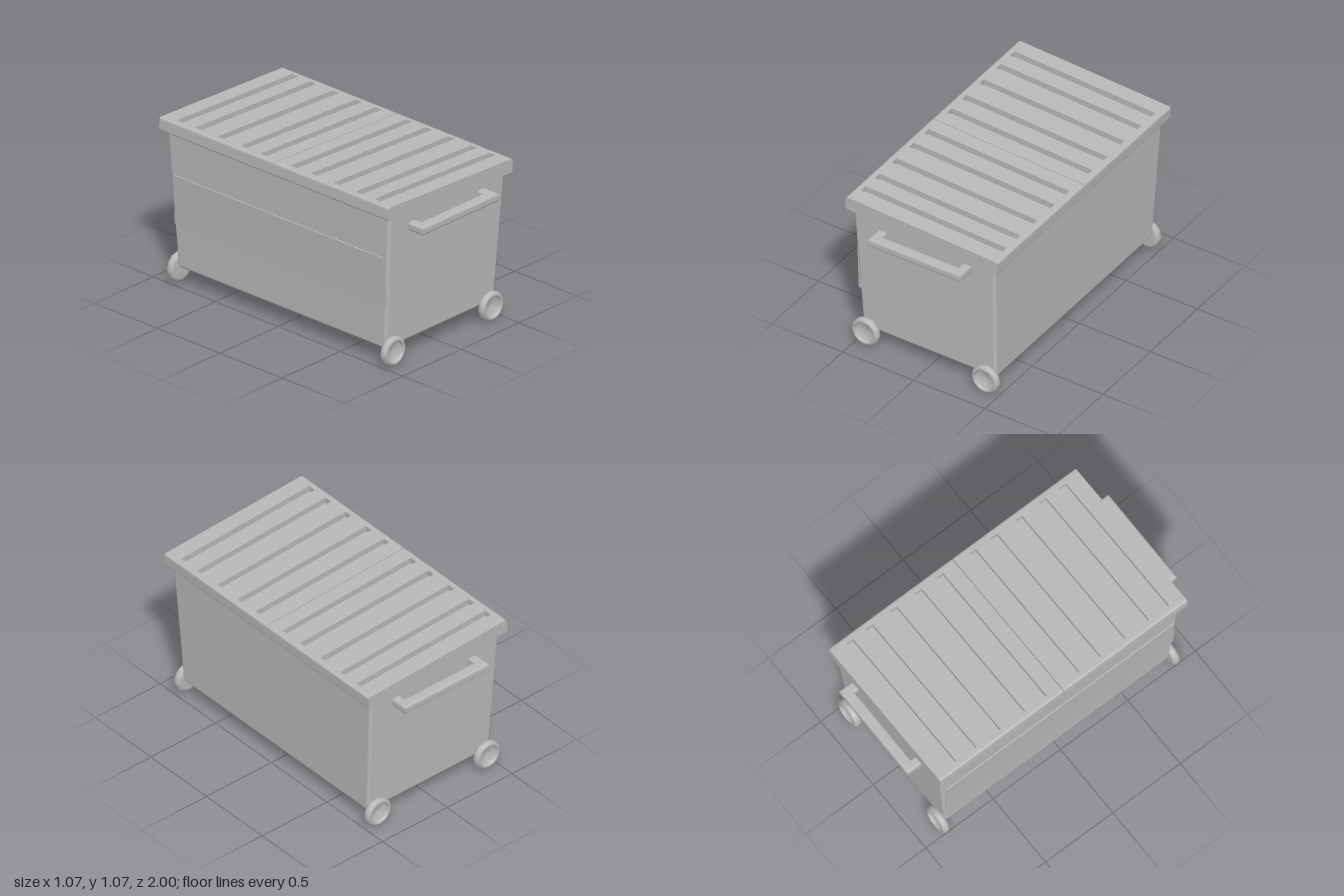
import * as THREE from 'three';
import { RoundedBoxGeometry } from 'three/addons/geometries/RoundedBoxGeometry.js';

const TILT = 0.0435; // the lids fall towards +x

// Tapered tub with a slanted top
function bodyGeometry() {
  const y0 = 0.105, h = 0.875;
  const g = new RoundedBoxGeometry(0.936, h, 1.664, 3, 0.02);
  const p = g.attributes.position;
  for (let i = 0; i < p.count; i++) {
    const t = p.getY(i) / h + 0.5;
    const x = p.getX(i) * (1 + 0.064 * t);
    p.setXYZ(i, x, y0 + h * t - TILT * x * t, p.getZ(i) * (1 + 0.072 * t));
  }
  return g;
}

// Lid cross-section with rounded corners, optionally notched from above
function lidProfile(notched) {
  const w = 0.535, h = 0.044, r = 0.016, s = new THREE.Shape();
  s.moveTo(-w + r, -h);
  s.lineTo(w - r, -h);
  s.quadraticCurveTo(w, -h, w, -h + r);
  s.lineTo(w, h - r);
  s.quadraticCurveTo(w, h, w - r, h);
  if (notched) {
    s.lineTo(0.495, h);
    s.lineTo(0.495, h - 0.04);
    s.lineTo(-0.495, h - 0.04);
    s.lineTo(-0.495, h);
  }
  s.lineTo(-w + r, h);
  s.quadraticCurveTo(-w, h, -w, h - r);
  s.lineTo(-w, -h + r);
  s.quadraticCurveTo(-w, -h, -w + r, -h);
  return s;
}

// One lid: alternating plain and grooved slices along z
function makeLid(material) {
  const lid = new THREE.Group();
  const cuts = [0.003];
  for (const z of [0.122, 0.28, 0.463, 0.643, 0.79]) cuts.push(z - 0.025, z + 0.025);
  cuts.push(0.917);
  for (let i = 0; i < cuts.length - 1; i++) {
    const grooved = i % 2 === 1;
    const g = new THREE.ExtrudeGeometry(lidProfile(grooved), {
      depth: cuts[i + 1] - cuts[i], bevelEnabled: false, curveSegments: 4,
    });
    const slice = new THREE.Mesh(g, material);
    slice.name = grooved ? 'lidGroove' : 'lidRib';
    slice.position.z = cuts[i];
    lid.add(slice);
  }
  return lid;
}

// U-shaped grab bar with softened edges
function handleGeometry() {
  const pts = [[-0.327, 0.86], [-0.327, 1], [0.327, 1], [0.327, 0.86],
    [0.265, 0.86], [0.265, 0.93], [-0.265, 0.93], [-0.265, 0.86]];
  const shape = new THREE.Shape(pts.map(([x, y]) => new THREE.Vector2(x, y)));
  const g = new THREE.ExtrudeGeometry(shape, {
    depth: 0.025, bevelThickness: 0.015, bevelSize: 0.014, bevelOffset: -0.014, bevelSegments: 3,
  });
  return g.translate(0, 0, -0.0125).rotateX(Math.PI / 2);
}

// Twelve-sided wheel with a dished outer face, axis along z
function wheelGeometry() {
  const pts = [[0, 0], [0.07, 0], [0.088, 0.006], [0.094, 0.018], [0.094, 0.036],
    [0.085, 0.048], [0.073, 0.052], [0.068, 0.046], [0.06, 0.026], [0, 0.018]];
  return new THREE.LatheGeometry(pts.map(([x, y]) => new THREE.Vector2(x, y)), 12).rotateX(Math.PI / 2);
}

export function createModel() {
  const model = new THREE.Group();
  model.name = 'wheeledBin';
  const grey = new THREE.MeshStandardMaterial({ color: 0xb8b8b8 });
  grey.name = 'grey';

  const add = (name, geometry, parent = model) => {
    const mesh = new THREE.Mesh(geometry, grey);
    mesh.name = name;
    parent.add(mesh);
    return mesh;
  };

  add('body', bodyGeometry());

  // Thin plate on the -x wall, following its slope
  const panel = add('sidePanel', new THREE.BoxGeometry(0.018, 0.32, 1.69));
  panel.position.set(-0.481, 0.55, 0.006);
  panel.rotation.z = 0.034;

  // Two lids meeting at the middle
  const lids = new THREE.Group();
  lids.name = 'lids';
  lids.position.y = 1.006;
  lids.rotation.z = -TILT;
  model.add(lids);

  const handle = handleGeometry();
  const wheel = wheelGeometry();
  for (const [end, turn] of [['front', 0], ['back', Math.PI]]) {
    const lid = makeLid(grey);
    lid.name = end + 'Lid';
    lid.rotation.y = turn;
    lids.add(lid);

    const bar = add(end + 'Handle', handle);
    bar.position.y = 0.873;
    bar.rotation.y = turn;

    // Wheels outside the lower corners
    for (const [side, x] of [['Left', 0.412], ['Right', -0.43]]) {
      const w = add(end + side + 'Wheel', wheel);
      w.position.set(x, 0.094, turn ? -0.828 : 0.83);
      w.rotation.y = turn;
    }
  }
  return model;
}
